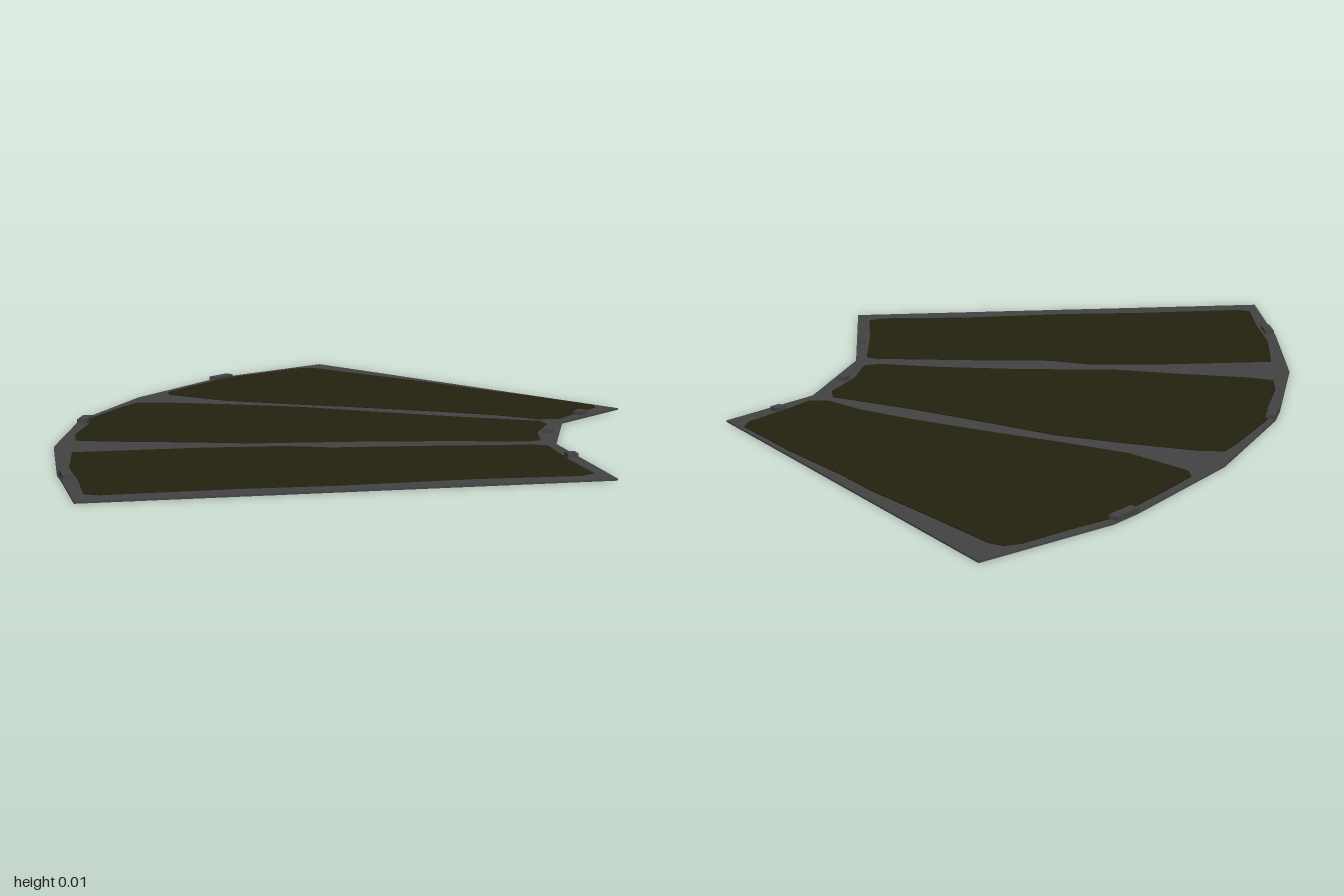
import * as THREE from 'three';

const rimGrey = new THREE.MeshStandardMaterial({ color: 0x424244 });
rimGrey.name = 'rim grey';
const panelOlive = new THREE.MeshStandardMaterial({ color: 0x23210f });
panelOlive.name = 'panel olive';
const edgeGrey = new THREE.MeshStandardMaterial({ color: 0x929292 });
edgeGrey.name = 'edge grey';

// Horizontal plate from an outline of [x, z] points
function plate(name, points, bottom, top, material) {
  const shape = new THREE.Shape(points.map(([x, z]) => new THREE.Vector2(x, -z)));
  const geometry = new THREE.ExtrudeGeometry(shape, { depth: top - bottom, bevelEnabled: false });
  geometry.rotateX(-Math.PI / 2);
  geometry.translate(0, bottom, 0);
  const mesh = new THREE.Mesh(geometry, material);
  mesh.name = name;
  return mesh;
}

export function createModel() {
  const model = new THREE.Group();
  model.name = 'curvedPanelPlate';

  // Base: inner edge, then the outer edge with one bulge per segment
  const inner = [[0.4, 1], [0.42, 0.53], [0.54, 0.22], [0.755, 0.03]];
  const bulges = [
    [[0.21, -1], [-0.1, -0.8], [-0.16, -0.74], [-0.41, -0.44]],
    [[-0.41, -0.44], [-0.6, -0.1], [-0.625, -0.03], [-0.72, 0.31]],
    [[-0.72, 0.31], [-0.755, 0.67], [-0.755, 0.75], [-0.76, 1]],
  ];
  const outer = [...bulges[0], ...bulges[1].slice(1), ...bulges[2].slice(1)];
  model.add(plate('basePlate', [...inner, ...outer], 0.001, 0.004, rimGrey));
  const chord = [bulges[0][0], bulges[1][0], bulges[2][0], bulges[2][3]];
  model.add(plate('underside', [...inner, ...chord], 0, 0.001, rimGrey));
  bulges.forEach((b) => model.add(plate('outerEdgeUnderside', b, 0, 0.001, edgeGrey)));

  // Three inlaid panels with irregular rounded outlines
  const panels = {
    backPanel: [
      [0.15, -0.915], [0.18, -0.895], [0.3, -0.71], [0.42, -0.53], [0.48, -0.42], [0.6, -0.23],
      [0.71, -0.03], [0.7, 0.01], [0.62, 0.09], [0.55, 0.17], [0.5, 0.165], [0.42, 0.08],
      [0.3, -0.01], [0.1, -0.14], [-0.05, -0.23], [-0.2, -0.33], [-0.32, -0.47],
      [-0.32, -0.51], [-0.23, -0.62], [-0.1, -0.77], [0, -0.83], [0.11, -0.905],
    ],
    middlePanel: [
      [-0.43, -0.335], [-0.37, -0.325], [-0.2, -0.25], [-0.04, -0.17], [0.12, -0.05], [0.3, 0.08],
      [0.49, 0.2], [0.49, 0.25], [0.43, 0.36], [0.4, 0.475], [0.36, 0.485], [0.2, 0.44],
      [0, 0.4], [-0.27, 0.365], [-0.4, 0.32], [-0.6, 0.26], [-0.66, 0.23],
      [-0.65, 0.15], [-0.6, 0], [-0.58, -0.1], [-0.47, -0.28],
    ],
    frontPanel: [
      [-0.69, 0.405], [-0.4, 0.41], [-0.2, 0.43], [-0.1, 0.475], [0.1, 0.5], [0.36, 0.54],
      [0.39, 0.56], [0.375, 0.75], [0.37, 0.93], [0.33, 0.95], [0.1, 0.935], [-0.2, 0.945],
      [-0.4, 0.935], [-0.7, 0.94], [-0.73, 0.92], [-0.72, 0.75], [-0.72, 0.6],
    ],
  };
  for (const [name, points] of Object.entries(panels)) {
    model.add(plate(name, points, 0.004, 0.006, panelOlive));
  }

  // Small raised tabs along both curved edges: x, z, edge direction, length
  const tabs = [
    [-0.13, -0.75, [-0.06, 0.06], 0.08], [-0.6, -0.06, [-0.025, 0.07], 0.075],
    [-0.74, 0.71, [0, 1], 0.065], [0.395, 0.71, [-0.02, 0.47], 0.03],
    [0.457, 0.36, [-0.12, 0.31], 0.03], [0.628, 0.105, [-0.215, 0.19], 0.03],
  ];
  for (const [x, z, [dx, dz], length] of tabs) {
    const tab = new THREE.Mesh(new THREE.BoxGeometry(0.024, 0.01, length), rimGrey);
    tab.position.set(x, 0.009, z);
    tab.rotation.y = Math.atan2(dx, dz);
    tab.name = 'edgeTab';
    model.add(tab);
  }
  return model;
}
